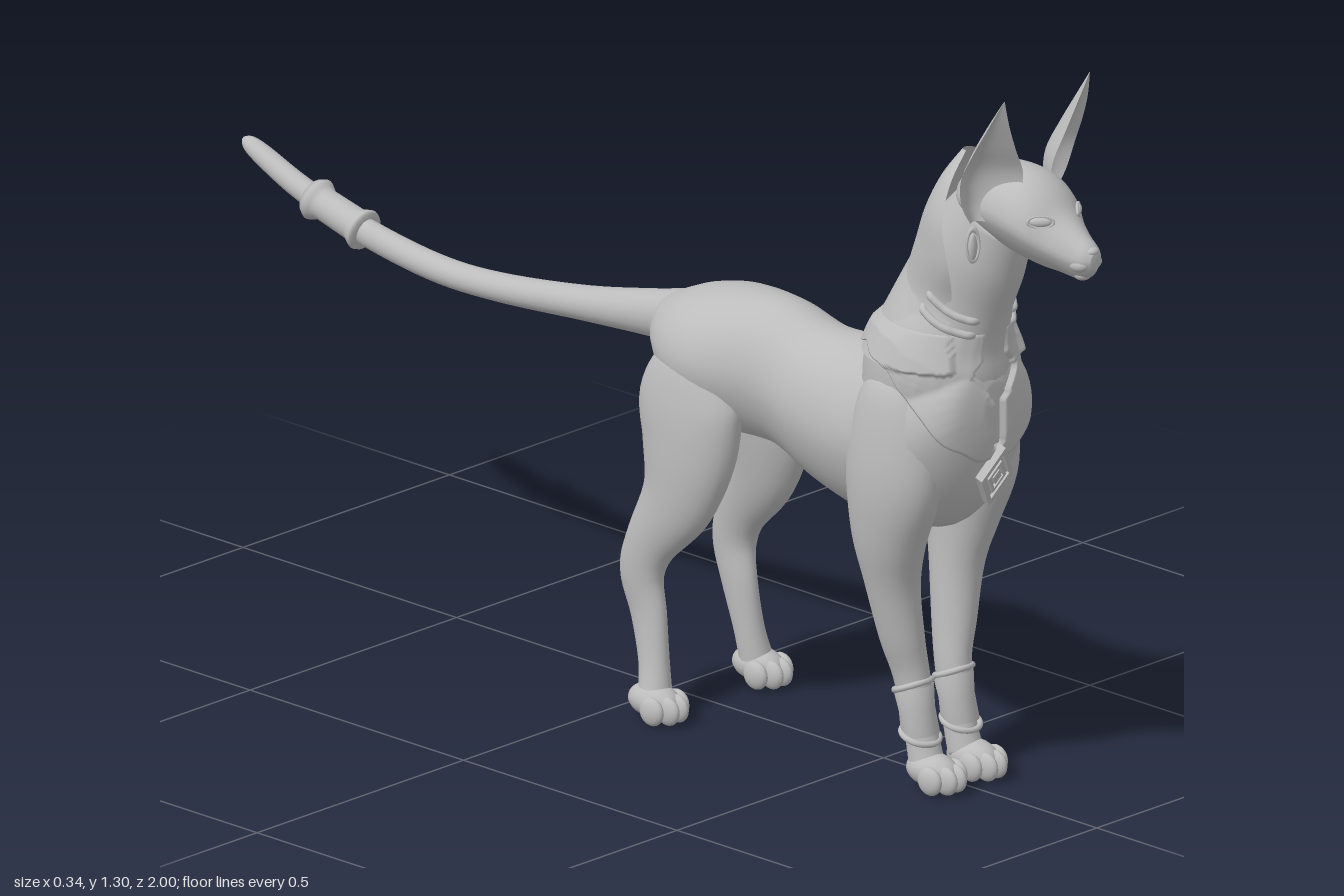
import * as THREE from 'three';

const stone = new THREE.MeshStandardMaterial({ color: 0xbcbcbc, side: THREE.DoubleSide });
stone.name = 'stone grey';

// Smooth interpolation through rows of numbers, t in 0..1
function sample(rows, t) {
  const f = t * (rows.length - 1), i = Math.min(Math.floor(f), rows.length - 2), u = f - i;
  const p = k => rows[Math.max(0, Math.min(rows.length - 1, k))];
  return rows[i].map((b, k) => {
    const a = p(i - 1)[k], c = p(i + 1)[k], d = p(i + 2)[k];
    return b + 0.5 * u * (c - a + u * (2 * a - 5 * b + 4 * c - d + u * (3 * (b - c) + d - a)));
  });
}

function build(pos, idx) {
  const g = new THREE.BufferGeometry();
  g.setAttribute('position', new THREE.Float32BufferAttribute(pos, 3));
  g.setIndex(idx);
  g.computeVertexNormals();
  return g;
}

// Closed tube of sections [x, y, z, half width, half depth].
// upright keeps the sections vertical; taper narrows their lower half
function loft(rows, n = 28, upright = false, taper = 0) {
  const m = (rows.length - 1) * 6, pos = [], idx = [];
  const X = new THREE.Vector3(1, 0, 0), up = new THREE.Vector3(0, 1, 0);
  const at = t => new THREE.Vector3(...sample(rows, Math.max(0, Math.min(1, t))).slice(0, 3));
  for (let i = 0; i <= m; i++) {
    const t = i / m, [x, y, z, a, b] = sample(rows, t);
    const V = upright ? up : at(t + 0.02).sub(at(t - 0.02)).cross(X).normalize();
    for (let j = 0; j < n; j++) {
      const w = j / n * Math.PI * 2, s = Math.sin(w);
      const c = Math.cos(w) * a * (1 - taper * Math.max(0, -s));
      pos.push(x + c, y + V.y * s * b, z + V.z * s * b);
      if (i < m) {
        const p = i * n + j, q = i * n + (j + 1) % n;
        idx.push(p, q, p + n, q, q + n, p + n);
      }
    }
  }
  const first = pos.length / 3;
  pos.push(...rows[0].slice(0, 3), ...rows[rows.length - 1].slice(0, 3));
  for (let j = 0; j < n; j++) {
    const k = (j + 1) % n;
    idx.push(first, k, j, first + 1, m * n + j, m * n + k);
  }
  return build(pos, idx);
}

// Upright loft along z from sections [z, top, bottom, half width]
const hull = (rows, taper) =>
  loft(rows.map(([z, t, b, w]) => [0, (t + b) / 2, z, w, (t - b) / 2]), 36, true, taper);

// Open sheet from a rule fn(u, v) returning [x, y, z]
function sheet(nu, nv, fn) {
  const pos = [], idx = [];
  for (let j = 0; j <= nv; j++) for (let i = 0; i <= nu; i++) {
    pos.push(...fn(i / nu, j / nv));
    if (i < nu && j < nv) {
      const p = j * (nu + 1) + i, q = p + nu + 1;
      idx.push(p, p + 1, q, p + 1, q + 1, q);
    }
  }
  return build(pos, idx);
}

const ball = (x, y, z, a, b, c) => new THREE.SphereGeometry(1, 20, 14).scale(a, b, c).translate(x, y, z);
const lathe = pts => new THREE.LatheGeometry(pts.map(p => new THREE.Vector2(...p)), 28);

function mirrored(geo) {
  const g = geo.clone().scale(-1, 1, 1), ix = g.index.array;
  for (let i = 0; i < ix.length; i += 3) [ix[i], ix[i + 1]] = [ix[i + 1], ix[i]];
  return g;
}

export function createModel() {
  const model = new THREE.Group();
  const add = (name, geo) => {
    const mesh = new THREE.Mesh(geo, stone);
    mesh.name = name;
    model.add(mesh);
    return mesh;
  };
  const pair = (name, geo) => [add(name + 'Left', geo), add(name + 'Right', mirrored(geo))];

  const torso = add('torso', hull([
    [0, 0.71, 0.64, 0.035], [0.03, 0.725, 0.6, 0.08], [0.09, 0.75, 0.54, 0.118], [0.17, 0.766, 0.515, 0.128],
    [0.28, 0.768, 0.51, 0.1], [0.38, 0.745, 0.47, 0.106], [0.5, 0.755, 0.445, 0.128], [0.6, 0.785, 0.45, 0.14],
    [0.67, 0.8, 0.465, 0.136], [0.72, 0.8, 0.515, 0.116], [0.75, 0.785, 0.575, 0.085], [0.764, 0.74, 0.64, 0.035]
  ], 0.12));

  const neck = add('neck', loft([
    [0, 0.68, 0.61, 0.12, 0.12], [0, 0.76, 0.635, 0.125, 0.13], [0, 0.83, 0.655, 0.106, 0.112],
    [0, 0.9, 0.683, 0.08, 0.103], [0, 0.98, 0.725, 0.074, 0.095], [0, 1.05, 0.765, 0.06, 0.075]
  ]));

  add('tail', loft([
    [0, 0.69, 0.09, 0.05, 0.04], [0, 0.675, 0.03, 0.048, 0.048], [0, 0.665, -0.04, 0.039, 0.041],
    [0, 0.642, -0.2, 0.032, 0.03], [0, 0.62, -0.4, 0.027, 0.025], [0, 0.618, -0.55, 0.025, 0.024],
    [0, 0.642, -0.72, 0.022, 0.024], [0, 0.68, -0.86, 0.021, 0.021], [0, 0.716, -0.95, 0.019, 0.018],
    [0, 0.731, -0.985, 0.014, 0.013], [0, 0.736, -0.998, 0.004, 0.004]
  ], 20));

  // Tail cuff with raised rims
  add('tailCuff', lathe([[0.02, -0.065], [0.034, -0.065], [0.037, -0.058], [0.033, -0.048], [0.029, -0.04],
    [0.028, 0.035], [0.033, 0.042], [0.038, 0.052], [0.033, 0.062], [0.02, 0.062]])
    .rotateX(-Math.PI / 2 + 0.25).translate(0, 0.657, -0.775));

  const foreLegs = pair('frontLeg', loft([
    [0.065, 0.77, 0.625, 0.015, 0.02], [0.078, 0.735, 0.625, 0.047, 0.06], [0.086, 0.67, 0.62, 0.06, 0.088],
    [0.094, 0.56, 0.615, 0.062, 0.096], [0.09, 0.45, 0.6, 0.055, 0.072], [0.078, 0.36, 0.597, 0.045, 0.05],
    [0.063, 0.26, 0.605, 0.036, 0.041], [0.05, 0.19, 0.615, 0.029, 0.034], [0.046, 0.1, 0.632, 0.027, 0.03],
    [0.047, 0.04, 0.648, 0.03, 0.032]
  ]));
  pair('hindLeg', loft([
    [0.045, 0.7, 0.14, 0.015, 0.02], [0.068, 0.66, 0.135, 0.048, 0.07], [0.084, 0.58, 0.132, 0.055, 0.108],
    [0.092, 0.49, 0.135, 0.053, 0.098], [0.1, 0.4, 0.117, 0.044, 0.074], [0.109, 0.31, 0.062, 0.033, 0.05],
    [0.112, 0.25, 0.043, 0.027, 0.045], [0.11, 0.18, 0.057, 0.023, 0.037], [0.115, 0.1, 0.074, 0.024, 0.029],
    [0.124, 0.04, 0.085, 0.03, 0.03]
  ]));

  // Paws with four toes
  for (const [name, x, z] of [['front', 0.049, 0.662], ['hind', 0.126, 0.085]]) {
    pair(name + 'Paw', ball(x, 0.036, z, 0.035, 0.03, 0.052));
    [-0.031, -0.011, 0.011, 0.031].forEach((dx, i) => {
      const out = i % 3 === 0 ? 0.024 : 0.042;
      pair(name + 'Toe' + (i + 1), ball(x + dx, 0.028, z + out, 0.0125, 0.025, 0.026));
    });
  }

  // Ankle sleeves with slanted rims on the front legs
  pair('anklet', lathe([[0.026, -0.045], [0.033, -0.045], [0.031, 0], [0.035, 0.04], [0.026, 0.04]])
    .rotateX(-0.2).translate(0.048, 0.135, 0.625));
  const rim = (slant, y, z) => new THREE.TorusGeometry(0.033, 0.0055, 10, 28)
    .rotateX(Math.PI / 2 + slant).translate(0.049, y, z);
  pair('ankletTopRim', rim(-0.4, 0.177, 0.617));
  pair('ankletLowerRim', rim(0.3, 0.092, 0.634));

  const head = add('head', hull([
    [0.7, 1.1, 1.05, 0.03], [0.735, 1.13, 1.02, 0.062], [0.79, 1.146, 1.0, 0.076], [0.85, 1.143, 0.987, 0.079],
    [0.89, 1.122, 0.982, 0.072], [0.925, 1.085, 0.98, 0.052], [0.96, 1.06, 0.977, 0.035],
    [0.985, 1.044, 0.985, 0.025], [0.998, 1.03, 1.0, 0.012]
  ], 0.35));
  add('nose', ball(0, 1.032, 0.988, 0.013, 0.008, 0.011));
  add('chin', ball(0, 0.987, 0.966, 0.016, 0.011, 0.017));
  pair('whiskerPad', ball(0.014, 1.009, 0.972, 0.017, 0.014, 0.021));

  // Slanted almond eyes with raised lids, set on the face
  const ray = new THREE.Raycaster(new THREE.Vector3(0.046, 1.077, 2), new THREE.Vector3(0, 0, -1));
  const faceZ = ray.intersectObject(head)[0].point.z;
  const set = g => g.rotateZ(0.2).rotateY(0.7).rotateX(-0.25).translate(0.046, 1.077, faceZ);
  pair('eye', set(ball(0, 0, 0, 0.019, 0.008, 0.006)));
  pair('eyelid', set(new THREE.TorusGeometry(0.02, 0.0028, 8, 24).scale(1.1, 0.5, 1)));

  // Cupped ears: [y, inner x, outer x, inner z, outer z, cup depth]
  const earRows = [
    [1.06, 0.06, 0.1, 0.84, 0.8, 0.02], [1.1, 0.038, 0.126, 0.855, 0.805, 0.035],
    [1.15, 0.036, 0.138, 0.862, 0.815, 0.04], [1.2, 0.06, 0.133, 0.868, 0.838, 0.032],
    [1.25, 0.083, 0.121, 0.875, 0.862, 0.018], [1.3, 0.103, 0.104, 0.884, 0.883, 0.001]];
  pair('ear', sheet(14, 30, (u, v) => {
    const [y, xi, xo, zi, zo, d] = sample(earRows, v);
    return [xi + (xo - xi) * u, y, zi + (zo - zi) * u - d * Math.sin(Math.PI * u)];
  }));

  // Earrings: oval hoop and filled drop
  pair('earringHoop', new THREE.TorusGeometry(0.02, 0.004, 10, 28).scale(0.55, 1.4, 1)
    .rotateY(0.5).translate(0.106, 1.027, 0.812));
  pair('earringDrop', ball(0.106, 1.022, 0.812, 0.009, 0.025, 0.006));

  // Hood wrapping the neck: [y, centre z, depth behind, half width, forward wrap]
  const hoodRows = [[1.145, 0.705, 0.015, 0.012, 0], [1.1, 0.715, 0.055, 0.06, 0], [1.04, 0.722, 0.092, 0.088, 0],
    [0.97, 0.72, 0.118, 0.092, 0.15], [0.89, 0.67, 0.1, 0.084, 0.6], [0.83, 0.65, 0.112, 0.11, 0.8],
    [0.77, 0.635, 0.138, 0.13, 0.9]];
  const hood = add('hood', sheet(40, 36, (u, v) => {
    const [y, z, d, w, e] = sample(hoodRows, v), a = u * (Math.PI + 2 * e) - e;
    return [w * Math.cos(a), y, z - d * Math.sin(a)];
  }));

  // Finds a point just above the chest and neck, at angle a from the front
  const under = [torso, neck, hood, ...foreLegs];
  const drape = (a, y, lift) => {
    const dir = new THREE.Vector3(Math.sin(a), 0, Math.cos(a));
    const axis = new THREE.Vector3(0, y, 0.63 + Math.max(0, y - 0.8) * 0.5);
    ray.set(axis.clone().add(dir), dir.clone().negate());
    const r = 1 - ray.intersectObjects(under)[0].distance;
    return axis.addScaledVector(dir, r + lift).toArray();
  };

  // Broad collar with a scalloped hem and a keyhole opening at the throat
  const hem = [[0.6], [0.62], [0.69], [0.765], [0.79], [0.782], [0.772]];
  add('collar', sheet(144, 40, (u, v) => {
    const a = (u * 2 - 1) * Math.PI;
    const low = sample(hem, Math.abs(a) / Math.PI)[0] + 0.004 * Math.cos(12 * a);
    const y = 0.84 + (low - 0.84) * v;
    const p = drape(a, y, 0.009 * Math.min(1, v * 3));
    const gap = Math.max(0.01, y > 0.79 ? 0.026 : 0.05 - Math.abs(y - 0.76) * 0.8);
    const open = Math.abs(p[0]) < gap && p[2] > 0.65 && y > 0.63;
    return open || v === 0 || v === 1 ? drape(a, y, -0.006) : p;
  }));

  // Slanted neck bands
  for (const [i, rise] of [[1, 0], [2, 0.026]]) {
    const pts = [];
    for (let k = 0; k <= 10; k++) {
      const a = 0.35 + k * 0.12;
      pts.push(new THREE.Vector3(...drape(a, 0.83 + rise + 0.05 * (1 - Math.cos(a)), k % 10 ? 0.001 : -0.008)));
    }
    pair('neckBand' + i, new THREE.TubeGeometry(new THREE.CatmullRomCurve3(pts), 40, 0.007, 10));
  }

  // Nested diamond pendant
  const diamond = s => [[0, 0.06], [-0.038, 0], [0, -0.06], [0.038, 0]].map(([x, y]) => new THREE.Vector2(x * s, y * s));
  const pendant = (name, size, hole, depth) => {
    const shape = new THREE.Shape(diamond(size));
    if (hole) shape.holes.push(new THREE.Path(diamond(hole)));
    add(name, new THREE.ExtrudeGeometry(shape, { depth, bevelEnabled: false })
      .rotateX(0.33).translate(0, 0.578, 0.752));
  };
  pendant('pendantPlate', 0.95, 0, 0.01);
  pendant('pendantRim', 1, 0.75, 0.016);
  pendant('pendantInnerRim', 0.55, 0.38, 0.016);
  pendant('pendantGem', 0.25, 0, 0.016);

  return model;
}
